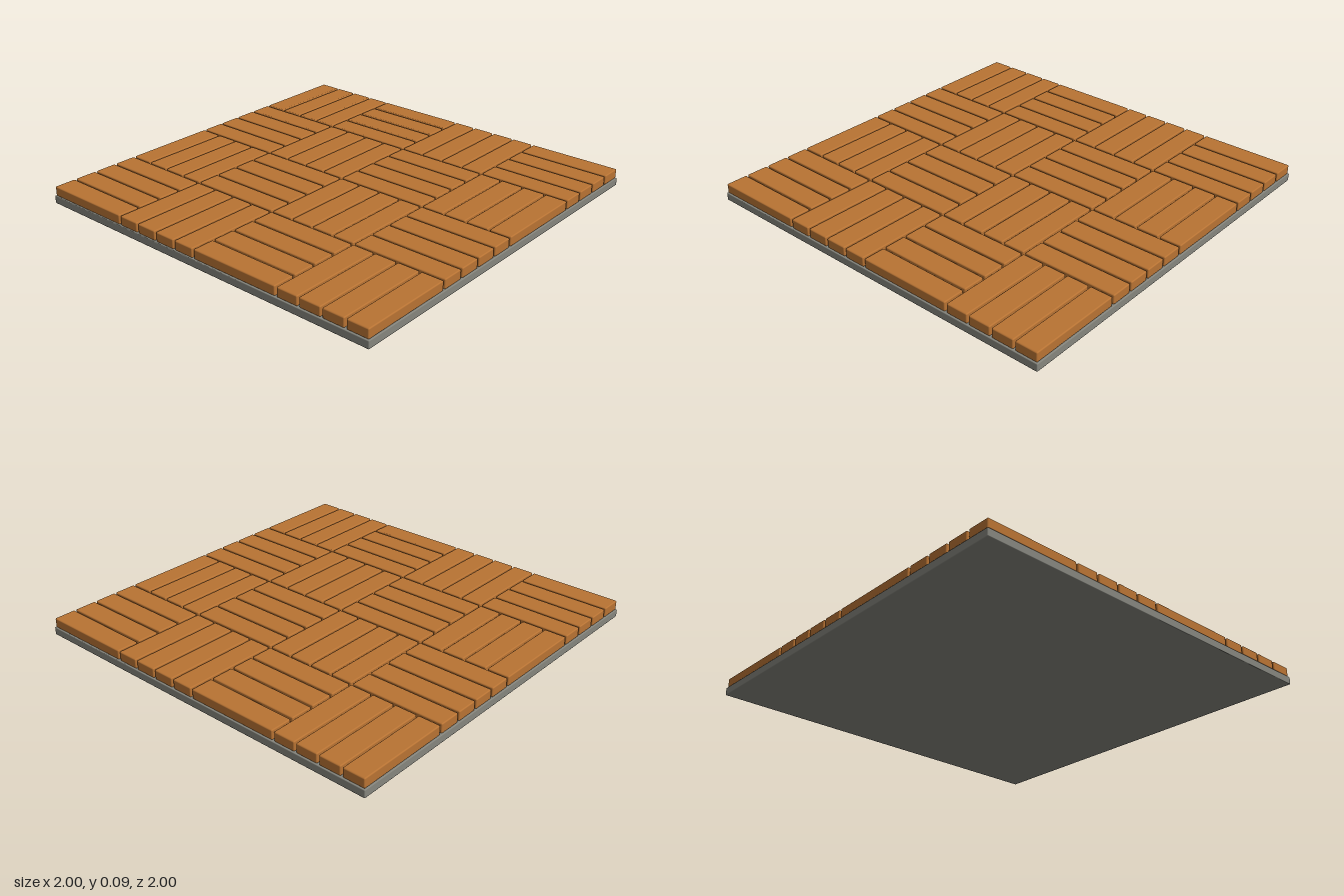
import * as THREE from 'three';
import { RoundedBoxGeometry } from 'three/addons/geometries/RoundedBoxGeometry.js';

export function createModel() {
  const group = new THREE.Group();
  group.name = 'parquetTile';

  const wood = new THREE.MeshStandardMaterial({ name: 'warm wood', color: 0xb87333 });
  const grey = new THREE.MeshStandardMaterial({ name: 'grey backing', color: 0x85857d });

  // Square backing board
  const baseHeight = 0.04;
  const base = new THREE.Mesh(new RoundedBoxGeometry(2, baseHeight, 2, 1, 0.004), grey);
  base.name = 'backingBoard';
  base.position.y = baseHeight / 2;
  group.add(base);

  // Basket weave: 4 x 4 squares of four slats, turned alternately
  const cells = 4, slats = 4, cell = 2 / cells, pitch = cell / slats;
  const gap = 0.011, slatHeight = 0.05;
  const slatGeometry = new RoundedBoxGeometry(pitch - gap, slatHeight, cell - gap, 2, 0.006);

  for (let row = 0; row < cells; row++) {
    for (let col = 0; col < cells; col++) {
      const square = new THREE.Group();
      square.name = `slatSquare${row + 1}_${col + 1}`;
      square.position.set(-1 + (col + 0.5) * cell, baseHeight + slatHeight / 2, -1 + (row + 0.5) * cell);
      if ((row + col) % 2) square.rotation.y = Math.PI / 2;
      for (let i = 0; i < slats; i++) {
        const slat = new THREE.Mesh(slatGeometry, wood);
        slat.name = `slat${i + 1}`;
        slat.position.x = (i - (slats - 1) / 2) * pitch;
        square.add(slat);
      }
      group.add(square);
    }
  }
  return group;
}
